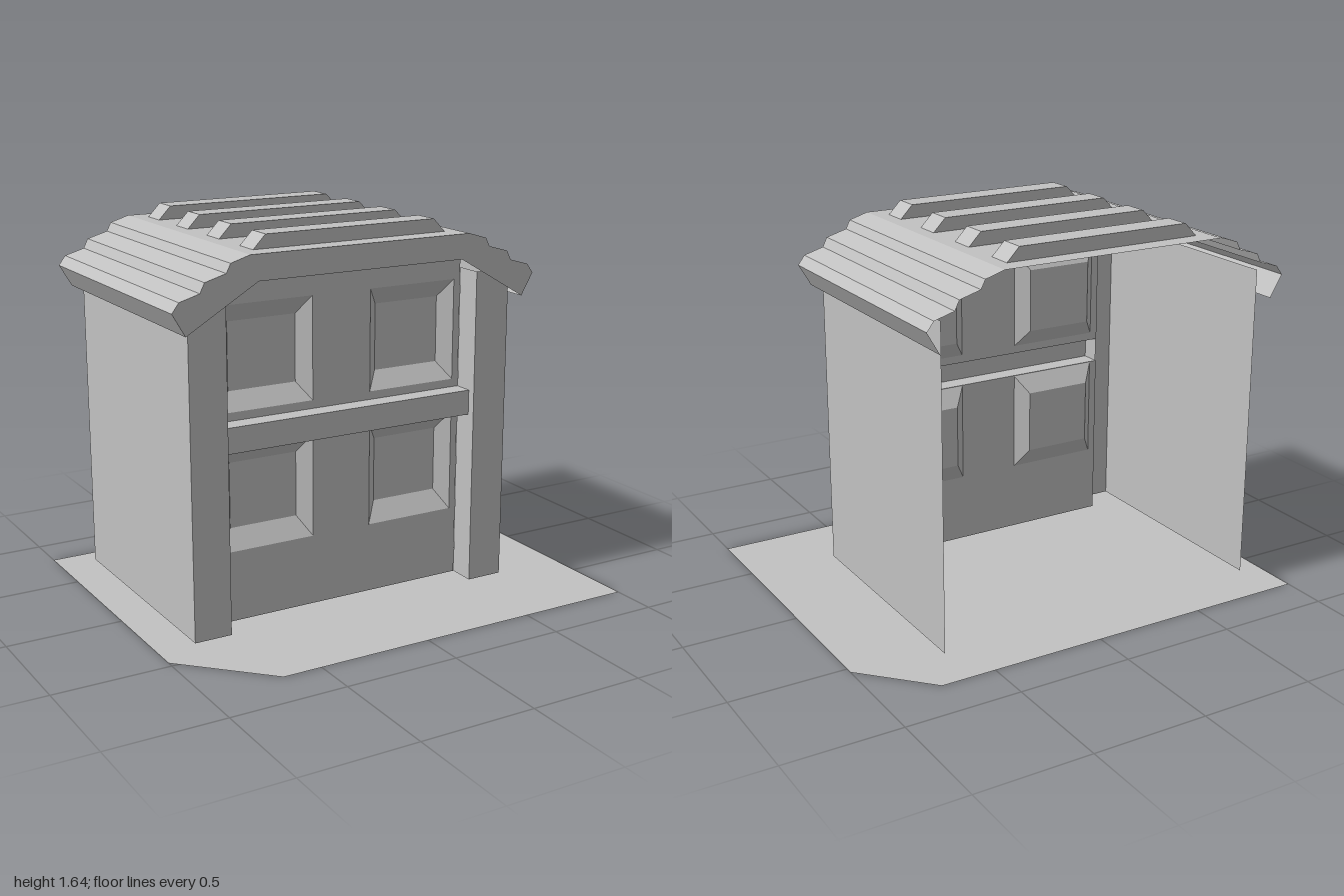
import * as THREE from 'three';

const grey = new THREE.MeshStandardMaterial({ color: 0xc2c2c2, side: THREE.DoubleSide });
grey.name = 'plainGrey';

function part(name, geometry) {
  const mesh = new THREE.Mesh(geometry, grey);
  mesh.name = name;
  return mesh;
}

// Flat-faced sheet spanning two matching paths of [x, y, z] points
function sheet(a, b) {
  const pos = [];
  for (let i = 0; i < a.length - 1; i++) {
    pos.push(...a[i], ...b[i], ...b[i + 1], ...a[i], ...b[i + 1], ...a[i + 1]);
  }
  const g = new THREE.BufferGeometry();
  g.setAttribute('position', new THREE.Float32BufferAttribute(pos, 3));
  g.computeVertexNormals();
  return g;
}

const shape = (pts) => new THREE.Shape(pts.map(([x, y]) => new THREE.Vector2(x, y)));
const rect = (x0, y0, x1, y1) => [[x0, y0], [x1, y0], [x1, y1], [x0, y1]];

const CX = -0.112;      // middle of the hut
const FLOOR = 0.032;    // foot of the walls
const PANEL_Z = 0.30;   // plane of the recessed front panel
const PANEL_X = [-0.70, 0.472];

export function createModel() {
  const group = new THREE.Group();

  // Ground plate with two clipped corners
  const plate = new THREE.ShapeGeometry(shape([
    [-1, 0.805], [0.74, 0.805], [1, 0.53], [1, -0.805], [-0.67, -0.805], [-1, -0.47],
  ]));
  plate.rotateX(-Math.PI / 2);
  group.add(part('groundPlate', plate));

  // Side walls, each folding round into a front pillar
  for (const s of [-1, 1]) {
    const plan = [[0.748, -0.64], [0.748, 0.42], [0.585, 0.42], [0.585, PANEL_Z]];
    const at = (y) => plan.map(([x, z]) => [CX + s * x, y, z]);
    group.add(part(s > 0 ? 'leftWall' : 'rightWall', sheet(at(FLOOR), at(1.41))));
  }

  // Front panel in two storeys, each with a pair of bevelled windows
  const storeys = [
    { name: 'lower', y: [FLOOR, 0.782], win: [0.335, 0.778], pane: [0.42, 0.70] },
    { name: 'upper', y: [0.89, 1.443], win: [0.925, 1.362], pane: [1.0, 1.285] },
  ];
  for (const { name, y, win, pane } of storeys) {
    const panel = shape(rect(PANEL_X[0], y[0], PANEL_X[1], y[1]));
    for (const s of [-1, 1]) {
      const wx = CX + s * 0.345;
      const outer = rect(wx - 0.208, win[0], wx + 0.208, win[1]);
      const inner = rect(wx - 0.154, pane[0], wx + 0.154, pane[1]);
      panel.holes.push(new THREE.Path(outer.map(([x, v]) => new THREE.Vector2(x, v))));
      const ring = (r, z) => [...r, r[0]].map(([x, v]) => [x, v, z]);
      group.add(part(name + 'WindowBevel', sheet(ring(outer, PANEL_Z), ring(inner, 0.25))));
      const glass = new THREE.ShapeGeometry(shape(inner));
      glass.translate(0, 0, 0.25);
      group.add(part(name + 'WindowPane', glass));
    }
    const g = new THREE.ShapeGeometry(panel);
    g.translate(0, 0, PANEL_Z);
    group.add(part(name + 'FrontPanel', g));
  }

  // Ledge between the storeys, hollow at the back
  const ledge = (x) => [[x, 0.782, PANEL_Z], [x, 0.782, 0.385], [x, 0.89, 0.385], [x, 0.89, PANEL_Z]];
  group.add(part('frontLedge', sheet(ledge(PANEL_X[0]), ledge(PANEL_X[1]))));

  // Stepped roof shell, open underneath and at the back
  const half = [
    [0.505, 1.585], [0.588, 1.56], [0.607, 1.523], [0.698, 1.497],
    [0.718, 1.457], [0.805, 1.432], [0.835, 1.392], [0.78, 1.298],
  ];
  const mirror = (pts, s) => pts.map(([x, y]) => [CX + s * x, y]);
  const profile = [...mirror(half, -1).reverse(), ...mirror(half, 1)];
  const roofAt = (z) => profile.map(([x, y]) => [x, y, z]);
  group.add(part('roofShell', sheet(roofAt(0.473), roofAt(-0.695))));

  // Roof front face
  const gable = new THREE.ShapeGeometry(shape([...profile, [CX + 0.47, 1.48], [CX - 0.47, 1.48]]));
  gable.translate(0, 0, 0.473);
  group.add(part('roofFront', gable));

  // Raised ribs across the roof top
  for (const z of [-0.608, -0.317, -0.025, 0.268]) {
    const rib = new THREE.ExtrudeGeometry(shape([
      [CX - 0.445, 1.585], [CX + 0.445, 1.585], [CX + 0.39, 1.642], [CX - 0.39, 1.642],
    ]), { depth: 0.112, bevelEnabled: false });
    rib.translate(0, 0, z);
    group.add(part('roofRib', rib));
  }

  return group;
}
